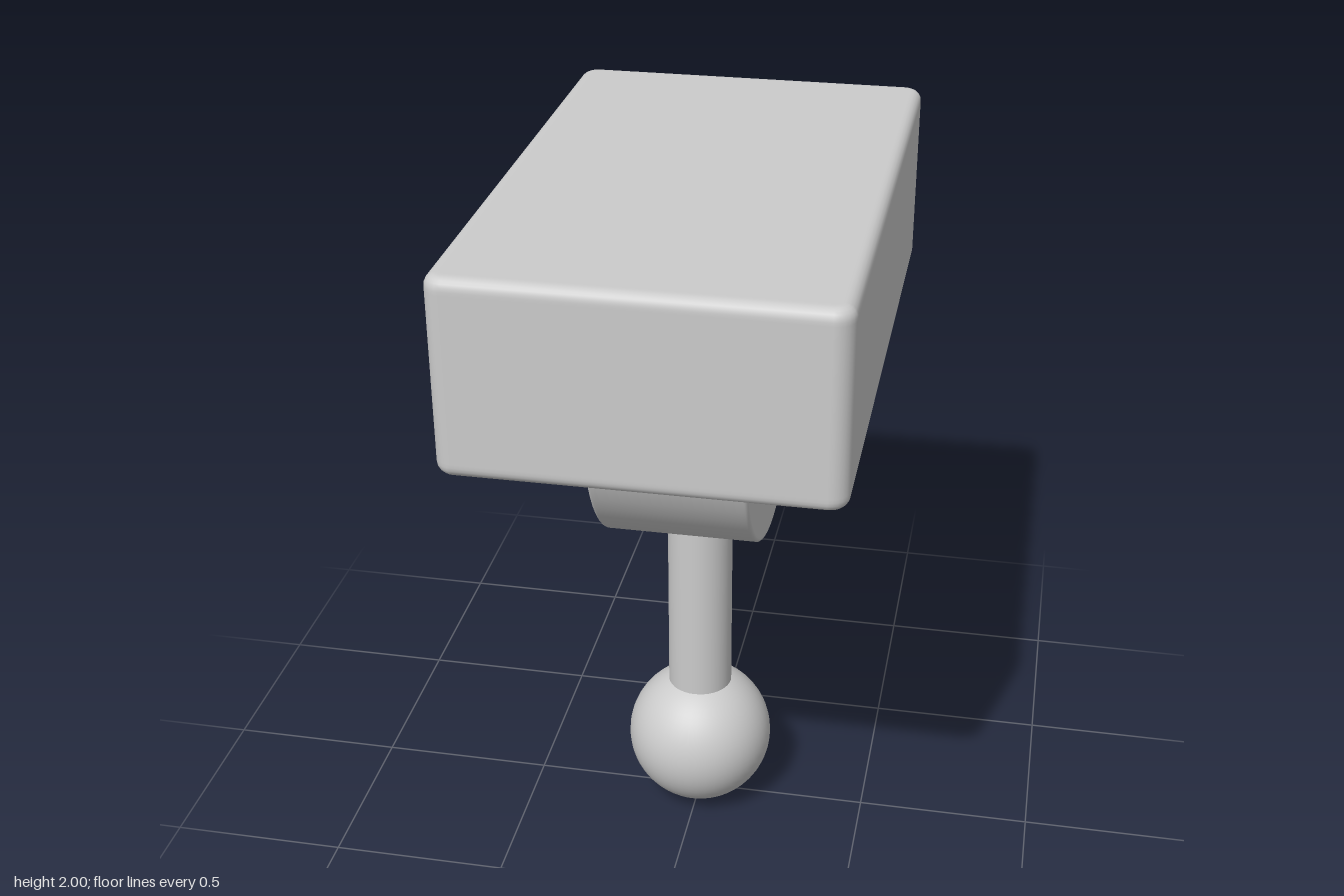
import * as THREE from 'three';

const material = new THREE.MeshStandardMaterial({ color: 0xcccccc });

function addMesh(parent, name, geometry) {
  const mesh = new THREE.Mesh(geometry, material);
  mesh.name = name;
  parent.add(mesh);
  return mesh;
}

// Quarter arc as [u, v] pairs around (cu, cv)
function arc(cu, cv, r, from, to, steps = 5) {
  return Array.from({ length: steps + 1 }, (_, i) => {
    const a = from + ((to - from) * i) / steps;
    return [cu + r * Math.cos(a), cv + r * Math.sin(a)];
  });
}

// Rounded rectangle loop at height y, inset from the outer walls
function rectLoop(halfX, halfZ, radius, y, steps = 6) {
  const loop = [];
  for (let q = 0; q < 4; q++) {
    const sx = q === 0 || q === 3 ? 1 : -1;
    const sz = q < 2 ? 1 : -1;
    for (let i = 0; i <= steps; i++) {
      const a = (q + i / steps) * Math.PI / 2;
      loop.push(sx * (halfX - radius) + radius * Math.cos(a), y, sz * (halfZ - radius) + radius * Math.sin(a));
    }
  }
  return loop;
}

// Skin a closed-loop stack running from the top centre round to the ceiling centre
function skin(loops) {
  const n = loops[0].length / 3;
  const index = [];
  for (let i = 0; i < loops.length - 1; i++) {
    for (let j = 0; j < n; j++) {
      const k = (j + 1) % n;
      const a = i * n + j, b = i * n + k, c = a + n, d = b + n;
      index.push(a, b, c, b, d, c);
    }
  }
  const geometry = new THREE.BufferGeometry();
  geometry.setAttribute('position', new THREE.Float32BufferAttribute(loops.flat(), 3));
  geometry.setIndex(index);
  geometry.computeVertexNormals();
  return geometry;
}

// Hollow housing, open underneath, with softened edges and lip
function housingGeometry() {
  const hx = 0.505, hz = 0.815, top = 2, bottom = 1.48;
  const wall = 0.125, ceiling = 1.87, r = 0.03;
  const P = Math.PI;
  // Section as [inset, height]
  const section = [
    [r + 0.01, top],
    ...arc(r, top - r, r, P / 2, P),
    [0, top - r - 0.01],
    [0, bottom + r + 0.01],
    ...arc(r, bottom + r, r, P, 1.5 * P),
    ...arc(wall - r, bottom + r, r, 1.5 * P, 2 * P),
    [wall, bottom + r + 0.01],
    [wall, ceiling - r - 0.01],
    ...arc(wall + r, ceiling - r, r, P, P / 2),
    [wall + r + 0.01, ceiling],
  ];
  const loops = section.map(([inset, y]) =>
    rectLoop(hx - inset, hz - inset, Math.max(0.05 - inset, 0.015), y));
  const centre = (y) => rectLoop(0, 0, 0, y);
  return skin([centre(top), ...loops, centre(ceiling)]);
}

function lathe(points, segments) {
  return new THREE.LatheGeometry(points.map(([r, y]) => new THREE.Vector2(r, y)), segments);
}

export function createModel() {
  const group = new THREE.Group();
  const H = Math.PI / 2;
  const pivotY = 1.48;

  addMesh(group, 'housing', housingGeometry());

  // Rocker drum, turned about the x axis
  const R = 0.502, W = 0.212, e = 0.01;
  const drum = addMesh(group, 'rockerDrum', lathe([
    [0, -W], [R - 2 * e, -W],
    ...arc(R - e, -W + e, e, -H, 0, 4),
    [R, -W + 2 * e], [R, W - 2 * e],
    ...arc(R - e, W - e, e, 0, H, 4),
    [R - 2 * e, W], [0, W],
  ], 64));
  drum.rotation.z = -H;
  drum.position.y = pivotY;

  // Pivot bosses with a filleted foot and rounded rim
  const B = 0.283, end = 0.29, f = 0.018;
  for (const side of [1, -1]) {
    const boss = addMesh(group, side > 0 ? 'leftPivotBoss' : 'rightPivotBoss', lathe([
      ...arc(B + f, W + f, f, 1.5 * Math.PI, Math.PI),
      [B, W + f + 0.005], [B, end - f - 0.005],
      ...arc(B - f, end - f, f, 0, H),
      [B - f - 0.01, end], [0, end],
    ], 64));
    boss.rotation.z = -side * H;
    boss.position.y = pivotY;
  }

  // Lever stem and ball knob
  const stem = addMesh(group, 'leverStem', new THREE.CylinderGeometry(0.093, 0.093, 0.75, 40));
  stem.position.y = 0.675;
  const knob = addMesh(group, 'ballKnob', new THREE.SphereGeometry(0.213, 48, 32));
  knob.position.y = 0.213;

  return group;
}
